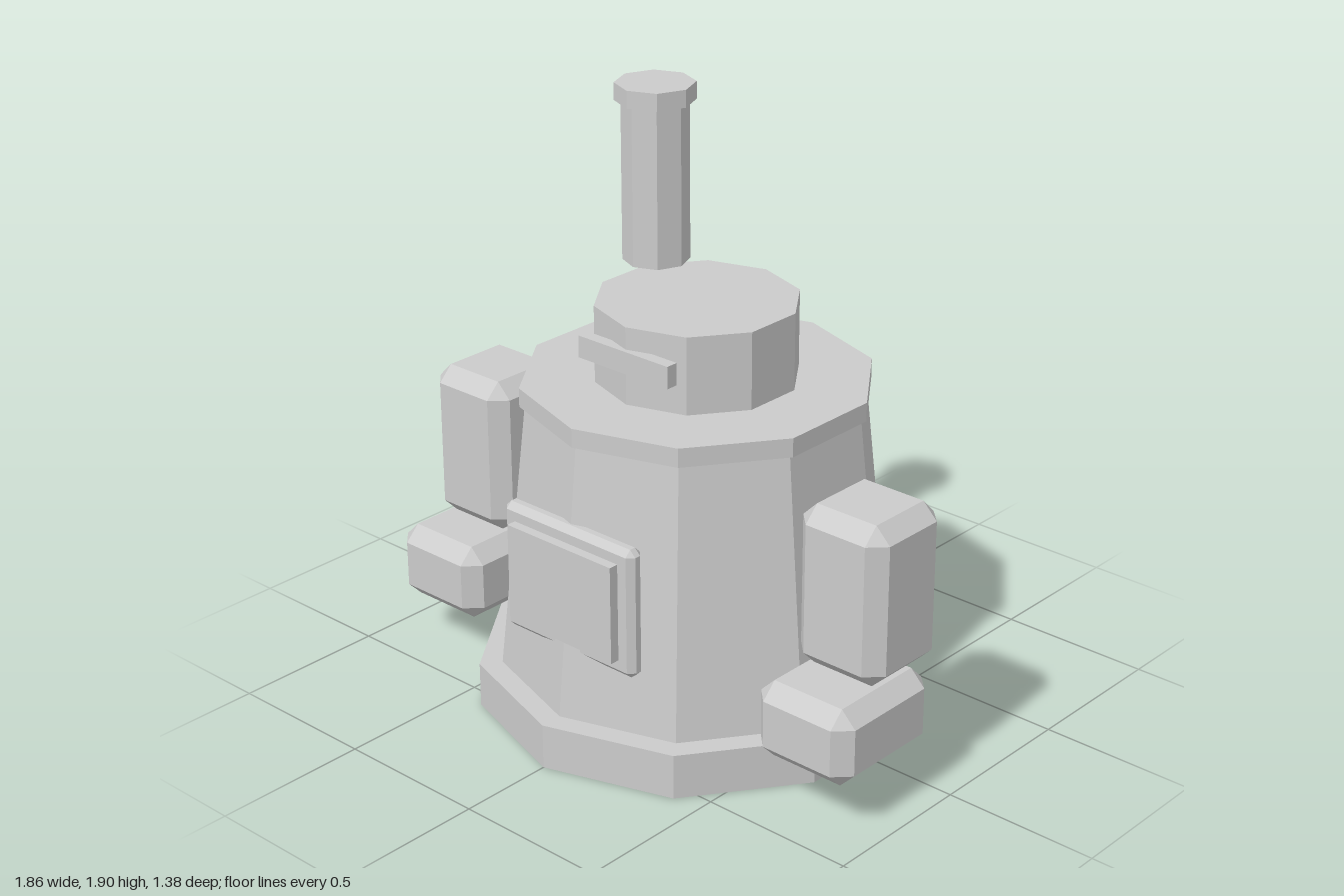
import * as THREE from 'three';
import { ConvexGeometry } from 'three/addons/geometries/ConvexGeometry.js';

const material = new THREE.MeshStandardMaterial({ color: 0xcccccc, flatShading: true });

// Box with every edge and corner cut off by c
function chamferBox(w, h, d, c) {
  const points = [];
  for (const sx of [-1, 1]) for (const sy of [-1, 1]) for (const sz of [-1, 1]) {
    const x = w / 2, y = h / 2, z = d / 2;
    points.push(
      new THREE.Vector3(sx * x, sy * (y - c), sz * (z - c)),
      new THREE.Vector3(sx * (x - c), sy * y, sz * (z - c)),
      new THREE.Vector3(sx * (x - c), sy * (y - c), sz * z));
  }
  return new ConvexGeometry(points);
}

export function createModel() {
  const model = new THREE.Group();
  model.name = 'robot';

  const add = (name, geometry, x, y, z, parent = model) => {
    const mesh = new THREE.Mesh(geometry, material);
    mesh.name = name;
    mesh.position.set(x, y, z);
    parent.add(mesh);
    return mesh;
  };
  // Faceted drum between two heights
  const drum = (name, rTop, rBottom, y0, y1, sides, x = 0, z = 0) =>
    add(name, new THREE.CylinderGeometry(rTop, rBottom, y1 - y0, sides), x, (y0 + y1) / 2, z);

  // Ten-sided body, stacked from the ground up
  drum('base', 0.692, 0.692, 0.1, 0.245, 10);
  drum('body', 0.528, 0.62, 0.245, 1.105, 10);
  drum('shoulderRim', 0.544, 0.544, 1.105, 1.165, 10);
  drum('head', 0.314, 0.314, 1.165, 1.41, 10);

  // Chimney hovering above the head
  drum('chimneyPipe', 0.104, 0.104, 1.44, 1.945, 8, -0.262, -0.103);
  drum('chimneyCap', 0.124, 0.124, 1.945, 2, 8, -0.262, -0.103);

  // Eye slot
  add('visor', new THREE.BoxGeometry(0.355, 0.07, 0.04), 0, 1.305, 0.308);

  // Chest door with a raised plate
  add('doorFrame', chamferBox(0.524, 0.418, 0.06, 0.02), 0, 0.654, 0.549);
  add('doorPlate', new THREE.BoxGeometry(0.418, 0.314, 0.05), 0, 0.655, 0.585);

  // Arms
  for (const [side, s] of [['left', 1], ['right', -1]]) {
    const arm = new THREE.Group();
    arm.name = side + 'Arm';
    model.add(arm);
    add('upperArm', chamferBox(0.314, 0.513, 0.314, 0.05), s * 0.754, 0.762, 0.107, arm);
    add('forearm', chamferBox(0.349, 0.25, 0.418, 0.05), s * 0.754, 0.379, 0.211, arm);
  }
  return model;
}
